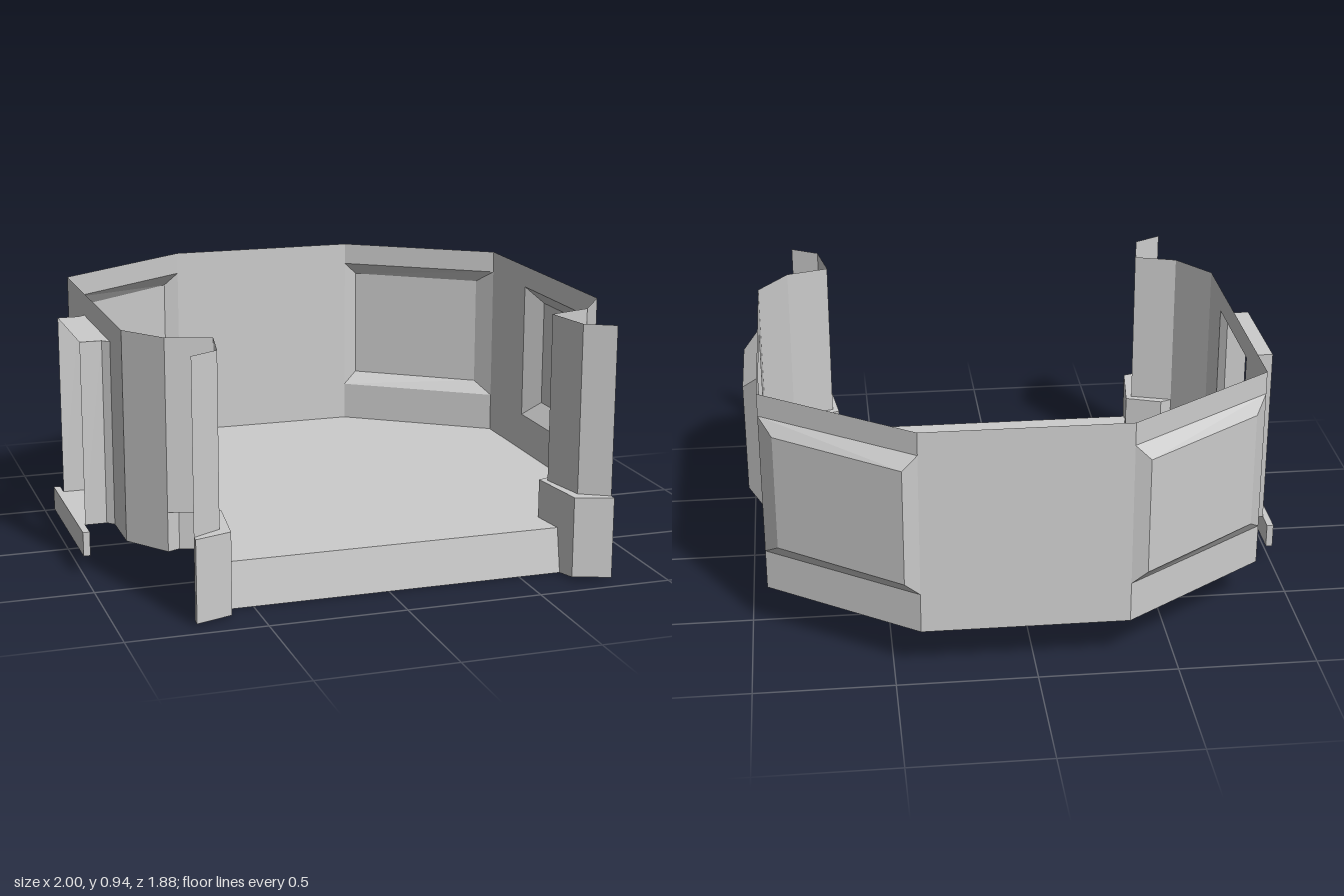
import * as THREE from 'three';

const material = new THREE.MeshStandardMaterial({ color: 0xcccccc, side: THREE.DoubleSide, flatShading: true });
const FLOOR = 0.165, TOP = 0.935;

// Mesh from flat quads, each a list of four [x, y, z] corners
function quadMesh(name, quads) {
  const pos = [];
  for (const [a, b, c, d] of quads) pos.push(...a, ...b, ...c, ...a, ...c, ...d);
  const g = new THREE.BufferGeometry();
  g.setAttribute('position', new THREE.Float32BufferAttribute(pos, 3));
  g.computeVertexNormals();
  const m = new THREE.Mesh(g, material);
  m.name = name;
  return m;
}

// Upright rectangle between two plan points [x, z]
const rect = (a, b, y0, y1) => [[a[0], y0, a[1]], [b[0], y0, b[1]], [b[0], y1, b[1]], [a[0], y1, a[1]]];

// Quads that join two closed loops of four corners
const ring = (p, q) => p.map((_, i) => {
  const j = (i + 1) % 4;
  return [p[i], p[j], q[j], q[i]];
});

// Upright wall strip along a plan path
const strip = (path, y0, y1) => path.slice(1).map((p, i) => rect(p, path[i], y0, y1));

export function createModel() {
  const room = new THREE.Group();
  room.name = 'room';

  // Plan of one half, measured from the room's own centre line
  const back = [0.37, -0.925], side = [0.905, -0.55], front = [0.905, 0.455], corner = [0.79, 0.615];
  const upper = [corner, [0.63, 0.665], [0.665, 0.85], [0.77, 0.91]];
  const lower = [[0.745, 0.595], [0.605, 0.645], [0.635, 0.89], [0.77, 0.935]];
  const floorFront = [0.622, 0.78];

  // Floor
  const half = [back, side, front, corner, lower[0], lower[1], floorFront];
  const plan = [...half, ...half.map(([x, z]) => [-x, z]).reverse()];
  const floorGeo = new THREE.ShapeGeometry(new THREE.Shape(plan.map(([x, z]) => new THREE.Vector2(x, -z))));
  floorGeo.rotateX(-Math.PI / 2).translate(0, FLOOR, 0);
  const floor = new THREE.Mesh(floorGeo, material);
  floor.name = 'floor';
  room.add(floor);

  // Back wall and sloping front apron
  room.add(quadMesh('backWall', [rect([-back[0], back[1]], back, FLOOR, TOP)]));
  room.add(quadMesh('frontApron', [[
    [-0.622, FLOOR, 0.78], [0.622, FLOOR, 0.78], [0.625, 0, 0.805], [-0.625, 0, 0.805]]]));

  for (const s of [1, -1]) {
    const label = s > 0 ? 'left' : 'right';
    const m = ([x, z]) => [s * x, z];

    // Diagonal back wall with a bulged panel
    const A = m(back), B = m(side);
    const inner = rect(A, B, 0.315, 0.85);
    const outer = rect(m([0.425, -0.94]), m([0.858, -0.625]), 0.365, 0.8);
    room.add(quadMesh(label + 'DiagonalWall', [
      rect(A, B, FLOOR, 0.315), rect(A, B, 0.85, TOP), ...ring(inner, outer), outer]));

    // Front chamfer and folded upper pillar
    const u = upper.map(m), l = lower.map(m);
    room.add(quadMesh(label + 'FrontChamfer', [rect(m(front), u[0], FLOOR, TOP)]));
    room.add(quadMesh(label + 'FrontPillar', strip(u, 0.31, TOP)));

    // Pillar base with its ledge; it drops past the floor in front of the apron
    const F = m(floorFront), G = m([0.625, 0.805]);
    const ledge = u.slice(1).map((p, i) => [
      [u[i][0], 0.31, u[i][1]], [p[0], 0.31, p[1]],
      [l[i + 1][0], 0.31, l[i + 1][1]], [l[i][0], 0.31, l[i][1]]]);
    room.add(quadMesh(label + 'PillarBase', [
      ...ledge,
      rect(u[0], l[0], FLOOR, 0.31),
      rect(l[0], l[1], FLOOR, 0.31),
      rect(l[1], F, FLOOR, 0.31),
      [[F[0], FLOOR, F[1]], [G[0], 0, G[1]], [G[0], 0.31, G[1]], [F[0], 0.31, F[1]]],
      [[G[0], 0, G[1]], [l[2][0], 0.01, l[2][1]], [l[2][0], 0.31, l[2][1]], [G[0], 0.31, G[1]]],
      rect(l[2], l[3], 0.01, 0.31),
      rect(l[3], u[3], 0.01, 0.31)]));
  }

  // Left wall with a raised square panel
  const wall = rect(side, front, FLOOR, TOP);
  const hole = rect([0.905, -0.215], [0.905, 0.26], 0.315, 0.85);
  const panel = rect([0.965, -0.155], [0.965, 0.2], 0.375, 0.79);
  room.add(quadMesh('leftWall', ring(wall, hole)));
  room.add(quadMesh('leftWallPanel', [...ring(hole, panel), panel]));

  // Right wall around a doorway
  const X = -0.905, z0 = -0.22, z1 = 0.255, H = 0.85;
  room.add(quadMesh('rightWall', [
    rect([X, -0.55], [X, z0], FLOOR, TOP),
    rect([X, z1], [X, 0.455], FLOOR, TOP),
    rect([X, z0], [X, z1], H, TOP)]));

  // Door reveal: bevelled jambs, lintel and threshold
  const jambs = [[[X, z0], [-0.93, -0.2], [-1.01, -0.2]], [[X, z1], [-0.93, 0.23], [-1.01, 0.23]]];
  const flat = (y) => [0, 1].map((i) => [
    [jambs[0][i][0], y, jambs[0][i][1]], [jambs[0][i + 1][0], y, jambs[0][i + 1][1]],
    [jambs[1][i + 1][0], y, jambs[1][i + 1][1]], [jambs[1][i][0], y, jambs[1][i][1]]]);
  room.add(quadMesh('doorJambs', jambs.flatMap((j) => strip(j, FLOOR, H))));
  room.add(quadMesh('doorLintel', flat(H)));
  room.add(quadMesh('doorThreshold', flat(FLOOR)));

  // Hanging lip outside the doorway
  const lip = new THREE.Mesh(new THREE.BoxGeometry(0.025, 0.09, 0.59), material);
  lip.name = 'doorLip';
  lip.position.set(-1.0225, 0.12, 0.02);
  room.add(lip);

  // Centre the whole room, doorway and panel included
  room.position.x = 0.035;
  const model = new THREE.Group();
  model.name = 'openRoom';
  model.add(room);
  return model;
}
